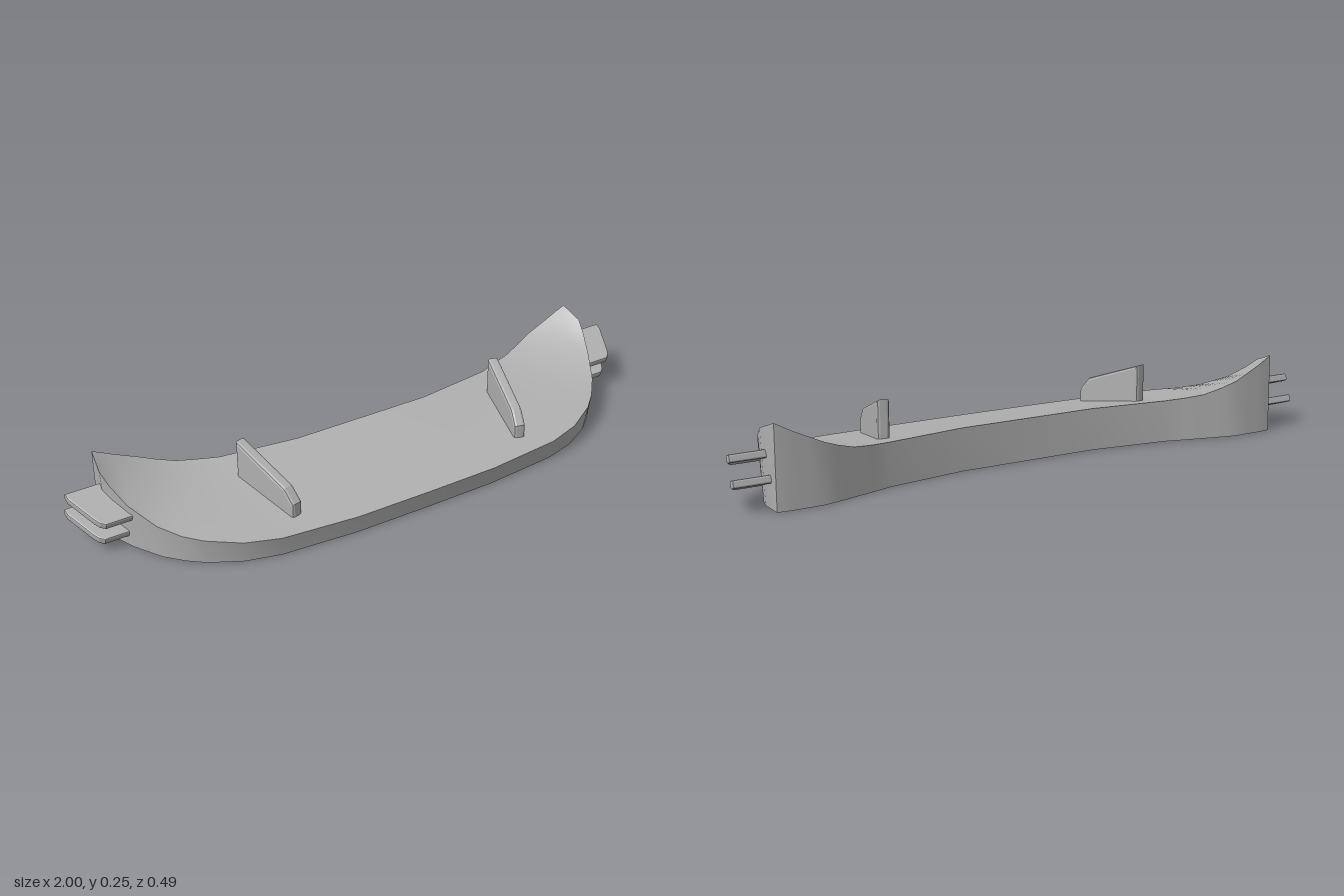
import * as THREE from 'three';

const grey = new THREE.MeshStandardMaterial({ color: 0xb0b0b0 });
grey.name = 'plain grey';

// Half outline, centre to tip: front edge x, z, top y, then rear edge x, z, top y
const stations = [
  [0, 0.245, 0.066, 0, -0.145, 0.135],
  [0.25, 0.243, 0.066, 0.24, -0.145, 0.135],
  [0.5, 0.222, 0.07, 0.5, -0.18, 0.135],
  [0.61, 0.192, 0.077, 0.57, -0.2, 0.14],
  [0.71, 0.135, 0.088, 0.63, -0.216, 0.147],
  [0.76, 0.09, 0.096, 0.69, -0.232, 0.165],
  [0.81, 0.03, 0.114, 0.74, -0.244, 0.184],
  [0.86, -0.06, 0.154, 0.79, -0.244, 0.207],
  [0.886, -0.125, 0.198, 0.83, -0.244, 0.226],
  [0.896, -0.165, 0.228, 0.86, -0.243, 0.242],
  [0.885, -0.24, 0.255, 0.885, -0.24, 0.255],
];

// Smooth sheet between two rails of points
function sheet(name, a, b, rows = 1) {
  const pos = [], index = [], n = a.length;
  for (let r = 0; r <= rows; r++)
    for (let i = 0; i < n; i++)
      pos.push(...a[i].clone().lerp(b[i], r / rows).toArray());
  for (let r = 0; r < rows; r++)
    for (let i = 0; i < n - 1; i++) {
      const p = r * n + i, q = p + n;
      index.push(p, p + 1, q, q, p + 1, q + 1);
    }
  const g = new THREE.BufferGeometry();
  g.setAttribute('position', new THREE.Float32BufferAttribute(pos, 3));
  g.setIndex(index);
  g.computeVertexNormals();
  const mesh = new THREE.Mesh(g, grey);
  mesh.name = name;
  return mesh;
}

// Curved main blade with raised ends
function buildBlade() {
  const mirrored = stations.slice(1).reverse().map(([fx, fz, fy, bx, bz, by]) => [-fx, fz, fy, -bx, bz, by]);
  const all = [...mirrored, ...stations];
  const last = all.length - 1;
  const V = (x, y, z) => new THREE.Vector3(x, y, z);
  const frontTop = all.map((s) => V(s[0], s[2], s[1]));
  const rearTop = all.map((s) => V(s[3], s[5], s[4]));
  const rearLow = all.map((s) => V(s[3], 0, s[4] - 0.003));
  // The lower front edge is tucked in slightly
  const frontLow = all.map((s, i) => (i === 0 || i === last
    ? rearLow[i].clone()
    : V(s[0] * 0.988, 0, s[1] - 0.014 * Math.max(0, Math.min(1, s[1] / 0.2)))));
  const blade = new THREE.Group();
  blade.name = 'blade';
  blade.add(
    sheet('topSurface', frontTop, rearTop, 6),
    sheet('frontWall', frontLow, frontTop),
    sheet('rearWall', rearTop, rearLow),
    sheet('underside', rearLow, frontLow),
  );
  return blade;
}

const shapeOf = (pts) => new THREE.Shape(pts.map(([x, y]) => new THREE.Vector2(x, y)));

// Upright fin standing on the blade
function buildFin(side) {
  const g = new THREE.ExtrudeGeometry(
    shapeOf([[0, 0.05], [0, 0.125], [0.037, 0.166], [0.25, 0.24], [0.25, 0.1]]),
    { depth: 0.02, bevelThickness: 0.009, bevelSize: 0.009, bevelOffset: -0.009, bevelSegments: 2 },
  );
  g.translate(0, 0, -0.01);
  const fin = new THREE.Mesh(g, grey);
  const angle = 1.33;
  fin.rotation.y = side > 0 ? angle : Math.PI - angle;
  fin.position.set(side * 0.411, 0, 0.158);
  fin.name = side > 0 ? 'leftFin' : 'rightFin';
  return fin;
}

// Tilted winglet on the end of the blade
function buildWinglet(side, y, z, name) {
  const plan = [[0.84, 0], [0.935, 0], [0.95, 0.012], [0.96, 0.03], [1, 0.13], [1, 0.153], [0.84, 0.153]];
  const g = new THREE.ExtrudeGeometry(
    shapeOf(plan.map(([x, d]) => [x * side, d])),
    { depth: 0.014, bevelThickness: 0.005, bevelSize: 0.005, bevelOffset: -0.005, bevelSegments: 2 },
  );
  g.translate(0, 0, 0.005);
  g.rotateX(-Math.PI / 2 + 0.325);
  const mesh = new THREE.Mesh(g, grey);
  mesh.position.set(0, y, z);
  mesh.name = (side > 0 ? 'left' : 'right') + name;
  return mesh;
}

export function createModel() {
  const model = new THREE.Group();
  model.name = 'frontSplitter';
  model.add(buildBlade());
  for (const side of [1, -1]) {
    model.add(
      buildFin(side),
      buildWinglet(side, 0.1, -0.054, 'UpperWinglet'),
      buildWinglet(side, 0.032, -0.077, 'LowerWinglet'),
    );
  }
  return model;
}
